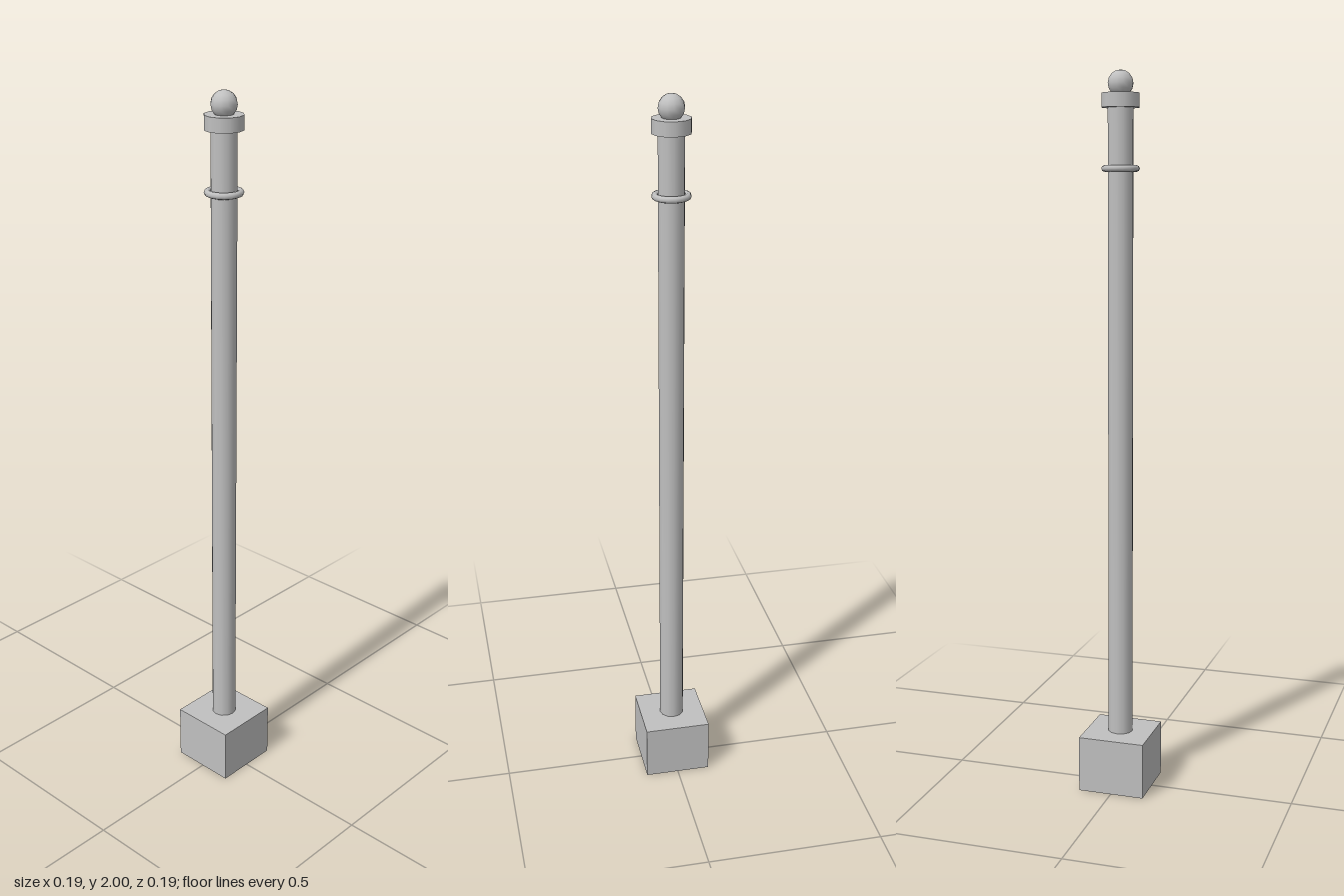
import * as THREE from 'three';

export function createModel() {
  const group = new THREE.Group();
  group.name = 'post';
  const grey = new THREE.MeshStandardMaterial({ color: 0xc0c0c0 });
  grey.name = 'stone grey';

  const add = (name, geometry, y) => {
    const mesh = new THREE.Mesh(geometry, grey);
    mesh.name = name;
    mesh.position.y = y;
    group.add(mesh);
    return mesh;
  };

  // Square block at the foot
  add('base', new THREE.BoxGeometry(0.188, 0.158, 0.188), 0.079);

  // Slender round shaft, from block to cap
  add('shaft', new THREE.CylinderGeometry(0.035, 0.035, 1.76, 12), 1.03);

  // Thin band around the upper shaft
  const band = new THREE.TorusGeometry(0.043, 0.009, 8, 16);
  band.rotateX(Math.PI / 2);
  add('band', band, 1.743);

  // Wide disc under the ball
  add('cap', new THREE.CylinderGeometry(0.052, 0.052, 0.038, 12), 1.921);

  // Ball finial
  add('finial', new THREE.SphereGeometry(0.035, 12, 8), 1.965);

  return group;
}
